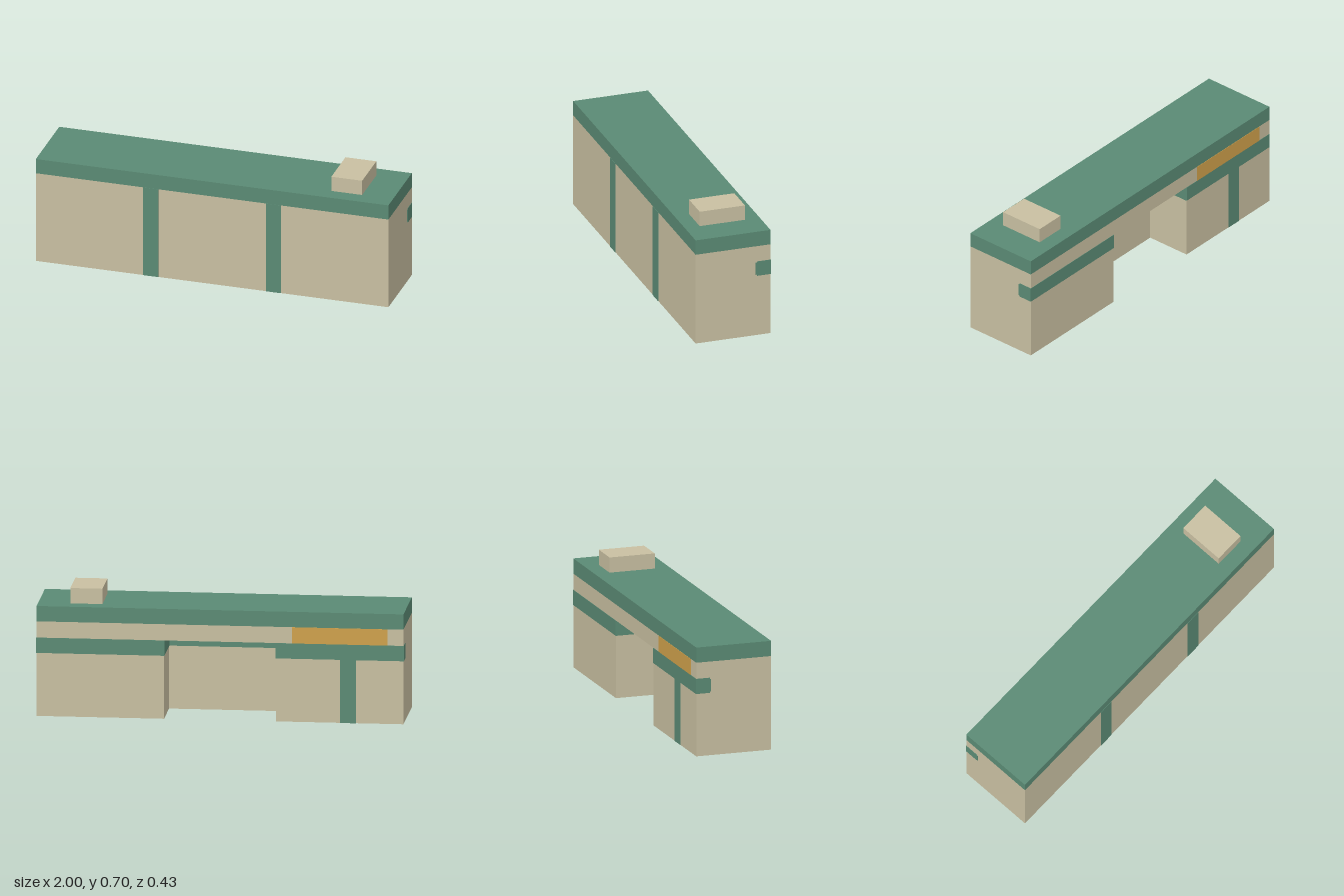
import * as THREE from 'three';

const beige = new THREE.MeshStandardMaterial({ color: 0xc8bfa1 });
beige.name = 'beigeWall';
const green = new THREE.MeshStandardMaterial({ color: 0x5a8a74 });
green.name = 'greenTrim';
const mustard = new THREE.MeshStandardMaterial({ color: 0xcfa14b });
mustard.name = 'mustardSign';

const X = 1, Z = 0.215;                // half length, half depth
const ROOF = 0.525, TOP = 0.61;        // roof band
const BAND0 = 0.35, BAND1 = 0.435;     // rear stripe, top meets the recess ceiling
const RX = 0.305, RZ = 0.043;          // recess half width and back wall
const T = 0.002;                       // paint thickness

export function createModel() {
  const group = new THREE.Group();

  const add = (name, geometry, material) => {
    const mesh = new THREE.Mesh(geometry, material);
    mesh.name = name;
    group.add(mesh);
    return mesh;
  };
  // box given by its minimum and maximum corners
  const box = (name, material, [x0, y0, z0], [x1, y1, z1]) => {
    const g = new THREE.BoxGeometry(x1 - x0, y1 - y0, z1 - z0);
    g.translate((x0 + x1) / 2, (y0 + y1) / 2, (z0 + z1) / 2);
    return add(name, g, material);
  };
  const polygon = (points) => new THREE.Shape(points.map(([x, y]) => new THREE.Vector2(x, y)));
  const plate = (points) => new THREE.ExtrudeGeometry(polygon(points), { depth: T, bevelEnabled: false });

  // walls: U-shaped plan with a recess open to the back
  const walls = new THREE.ExtrudeGeometry(polygon([
    [-X, -Z], [X, -Z], [X, Z], [RX, Z], [RX, -RZ], [-RX, -RZ], [-RX, Z], [-X, Z],
  ]), { depth: BAND1, bevelEnabled: false });
  walls.rotateX(-Math.PI / 2);
  add('walls', walls, beige);

  // lintel over the recess, roof and rooftop box
  box('lintel', beige, [-X, BAND1, -Z], [X, ROOF, Z]);
  box('roof', green, [-X, ROOF, -Z], [X, TOP, Z]);
  box('rooftopUnit', beige, [0.65, TOP, -0.13], [0.825, 0.695, 0.13]);

  // half-octagon paint end on the underside, reaching inwards from an edge
  const floorEnd = (x, z, dir) => {
    const g = plate([[-0.043, 0], [0.043, 0], [0.043, 0.025], [0.022, 0.047], [-0.022, 0.047], [-0.043, 0.025]]);
    g.rotateX(dir > 0 ? Math.PI / 2 : -Math.PI / 2);
    g.translate(x, dir > 0 ? T / 2 : -T / 2, z);
    add('stripeFoot', g, green);
  };

  // vertical stripes: two in front, one on the back
  for (const x of [-0.348, 0.348]) {
    box('frontStripe', green, [x - 0.043, 0, Z - T], [x + 0.043, ROOF, Z + T]);
    floorEnd(x, Z, -1);
  }
  box('backStripe', green, [-0.741, 0, -Z - T], [-0.655, BAND0, -Z + T]);
  floorEnd(-0.698, -Z, 1);

  // horizontal stripe along the back, into the recess and round the ends
  for (const s of [-1, 1]) {
    const [a, b] = s > 0 ? [RX, X] : [-X, -RX];
    box('rearBand', green, [a, BAND0, -Z - T], [b, BAND1, -Z + T]);
    box('recessSideBand', green, [s * RX - T, BAND0, -Z], [s * RX + T, BAND1, RZ]);

    const end = plate([
      [Z, BAND0], [Z, BAND1], [0.138, BAND1], [0.138, BAND1 - 0.007],
      [0.13, BAND1 - 0.007], [0.13, BAND0 + 0.007], [0.138, BAND0 + 0.007], [0.138, BAND0],
    ]);
    end.rotateY(Math.PI / 2);
    end.translate(s > 0 ? X : -X - T, 0, 0);
    add('bandEnd', end, green);
  }
  box('recessBackBand', green, [-RX, BAND0, RZ - T], [RX, BAND1, RZ + T]);

  // sign panel on the back
  box('signPanel', mustard, [-0.913, BAND1, -Z - T], [-0.392, ROOF, -Z + T]);

  return group;
}
